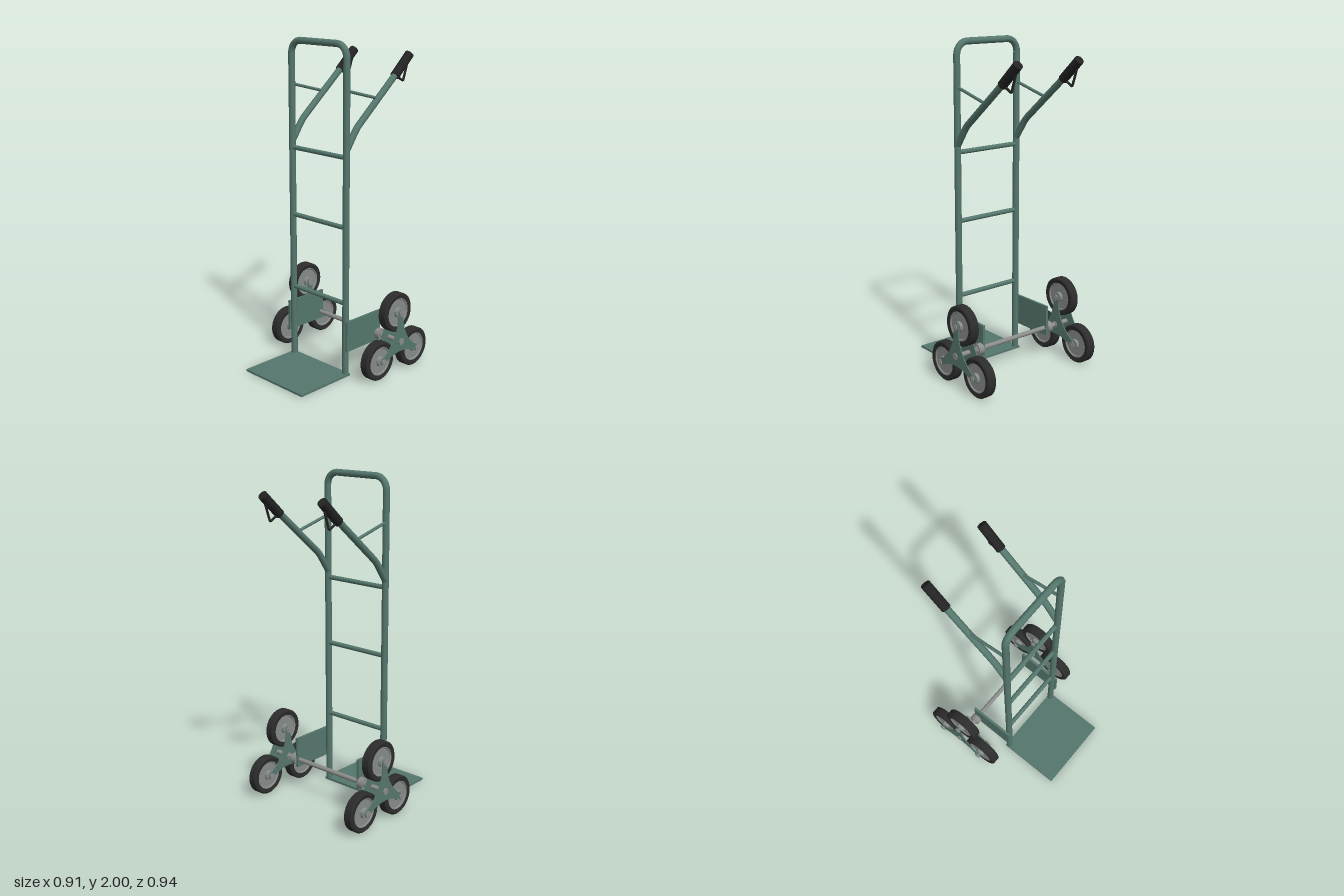
import * as THREE from 'three';
import { toCreasedNormals } from 'three/addons/utils/BufferGeometryUtils.js';

const V = (x, y, z) => new THREE.Vector3(x, y, z);

export function createModel() {
  const mat = (name, color) => {
    const m = new THREE.MeshStandardMaterial({ color });
    m.name = name;
    return m;
  };
  const green = mat('green paint', 0x55776d);
  const rubber = mat('tyre rubber', 0x2c2c2c);
  const gripBlack = mat('grip black', 0x232323);
  const rimGrey = mat('rim grey', 0x868c89);
  const steel = mat('steel', 0x8b8d8a);

  const model = new THREE.Group();
  model.name = 'stairClimbingHandTruck';

  const add = (parent, name, geometry, material, x = 0, y = 0, z = 0) => {
    const mesh = new THREE.Mesh(geometry, material);
    mesh.name = name;
    mesh.position.set(x, y, z);
    parent.add(mesh);
    return mesh;
  };

  // Straight rod between two points
  const rod = (parent, name, a, b, r, material, sides = 20) => {
    const mesh = add(parent, name, new THREE.CylinderGeometry(r, r, a.distanceTo(b), sides), material);
    mesh.position.copy(a).add(b).multiplyScalar(0.5);
    mesh.quaternion.setFromUnitVectors(V(0, 1, 0), b.clone().sub(a).normalize());
  };

  // Tube along a polyline whose inner corners are rounded
  const bentTube = (parent, name, pts, bend, r, segments, material) => {
    const path = new THREE.CurvePath();
    const k = 0.55;
    let from = pts[0];
    for (let i = 1; i < pts.length - 1; i++) {
      const p = pts[i];
      const start = p.clone().add(pts[i - 1].clone().sub(p).setLength(bend));
      const end = p.clone().add(pts[i + 1].clone().sub(p).setLength(bend));
      path.add(new THREE.LineCurve3(from, start));
      path.add(new THREE.CubicBezierCurve3(start, start.clone().lerp(p, k), end.clone().lerp(p, k), end));
      from = end;
    }
    path.add(new THREE.LineCurve3(from, pts[pts.length - 1]));
    add(parent, name, new THREE.TubeGeometry(path, segments, r, 16), material);
  };

  // Profile of [radius, offset] pairs turned around the x axis
  const turned = (profile, segments = 40) => toCreasedNormals(
    new THREE.LatheGeometry(profile.map(p => new THREE.Vector2(p[0], p[1])), segments)
      .rotateZ(-Math.PI / 2), 0.5);

  const railX = 0.223, railZ = 0.083;
  const axleY = 0.214, axleZ = -0.17, wheelX = 0.39, armLength = 0.178;

  // Main frame, rungs and toe plate
  bentTube(model, 'frame', [V(-railX, 0.01, railZ), V(-railX, 1.98, railZ),
    V(railX, 1.98, railZ), V(railX, 0.01, railZ)], 0.075, 0.02, 260, green);
  for (const y of [0.465, 0.93, 1.345]) {
    rod(model, 'rung', V(-railX, y, railZ), V(railX, y, railZ), 0.014, green);
  }
  add(model, 'toePlate', new THREE.BoxGeometry(0.488, 0.013, 0.402), green, 0, 0.0105, 0.266);

  // Axle
  rod(model, 'axle', V(-0.45, axleY, axleZ), V(0.45, axleY, axleZ), 0.014, steel);

  // Wheel geometry
  const tyreGeo = turned([[0.088, -0.027], [0.112, -0.03], [0.12, -0.023], [0.12, 0.023],
    [0.112, 0.03], [0.088, 0.027], [0.088, -0.027]]);
  const rimGeo = turned([[0, -0.038], [0.028, -0.038], [0.03, -0.02], [0.078, -0.02], [0.082, -0.026],
    [0.089, -0.026], [0.089, 0.026], [0.082, 0.026], [0.078, 0.02], [0.03, 0.02], [0.028, 0.038], [0, 0.038]]);
  const washerGeo = turned([[0, -0.003], [0.02, -0.003], [0.02, 0.003], [0, 0.003]], 24);

  // Three-armed star plate with concave sides and rounded tips
  const star = new THREE.Shape();
  const tip = 0.019;
  for (let i = 0; i < 3; i++) {
    const a = Math.PI / 2 + i * Math.PI * 2 / 3;
    const n = a + Math.PI * 2 / 3, m = a + Math.PI / 3;
    star.absarc(Math.cos(a) * armLength, Math.sin(a) * armLength, tip, a - Math.PI / 2, a + Math.PI / 2, false);
    star.quadraticCurveTo(Math.cos(m) * 0.02, Math.sin(m) * 0.02,
      Math.cos(n) * armLength + Math.sin(n) * tip, Math.sin(n) * armLength - Math.cos(n) * tip);
  }
  const starGeo = new THREE.ExtrudeGeometry(star, { depth: 0.006, bevelEnabled: false, curveSegments: 14 })
    .translate(0, 0, -0.003).rotateY(Math.PI / 2);

  for (const s of [-1, 1]) {
    const side = s > 0 ? 'left' : 'right';

    // Axle bracket and bearing collar
    add(model, side + 'BracketPlate', new THREE.BoxGeometry(0.015, 0.19, 0.293), green, s * 0.249, 0.265, -0.0435);
    rod(model, side + 'Collar', V(s * 0.254, axleY, axleZ), V(s * 0.29, axleY, axleZ), 0.034, steel, 32);
    rod(model, side + 'Sleeve', V(s * 0.29, axleY, axleZ), V(s * 0.298, axleY, axleZ), 0.021, steel, 24);

    // Cluster of three wheels
    const cluster = new THREE.Group();
    cluster.name = side + 'WheelCluster';
    cluster.position.set(s * wheelX, axleY, axleZ);
    model.add(cluster);
    for (const x of [-0.047, 0.047]) add(cluster, 'starPlate', starGeo, green, x);
    for (const x of [-0.057, 0.057]) add(cluster, 'axleWasher', washerGeo, steel, x);
    for (let i = 0; i < 3; i++) {
      const a = Math.PI / 2 + i * Math.PI * 2 / 3;
      const wheel = new THREE.Group();
      wheel.name = 'wheel';
      wheel.position.set(0, Math.sin(a) * armLength, Math.cos(a) * armLength);
      cluster.add(wheel);
      add(wheel, 'tyre', tyreGeo, rubber);
      add(wheel, 'rim', rimGeo, rimGrey);
      rod(wheel, 'wheelBolt', V(-0.063, 0, 0), V(0.063, 0, 0), 0.009, steel, 16);
      for (const x of [-0.057, 0.057]) add(wheel, 'washer', washerGeo, steel, x);
    }

    // Handle with brace, grip and hand guard
    const x = s * railX;
    bentTube(model, side + 'Handle', [V(x, 1.385, railZ), V(x, 1.505, 0),
      V(x, 1.8, -0.352)], 0.03, 0.02, 60, green);
    rod(model, side + 'Brace', V(x, 1.725, railZ), V(x, 1.657, -0.175), 0.009, green, 16);
    rod(model, side + 'Grip', V(x, 1.772, -0.322), V(x, 1.89, -0.451), 0.028, gripBlack, 28);
    bentTube(model, side + 'HandGuard', [V(x, 1.885, -0.448), V(x, 1.737, -0.398),
      V(x, 1.78, -0.32)], 0.008, 0.007, 40, gripBlack);
  }

  return model;
}
